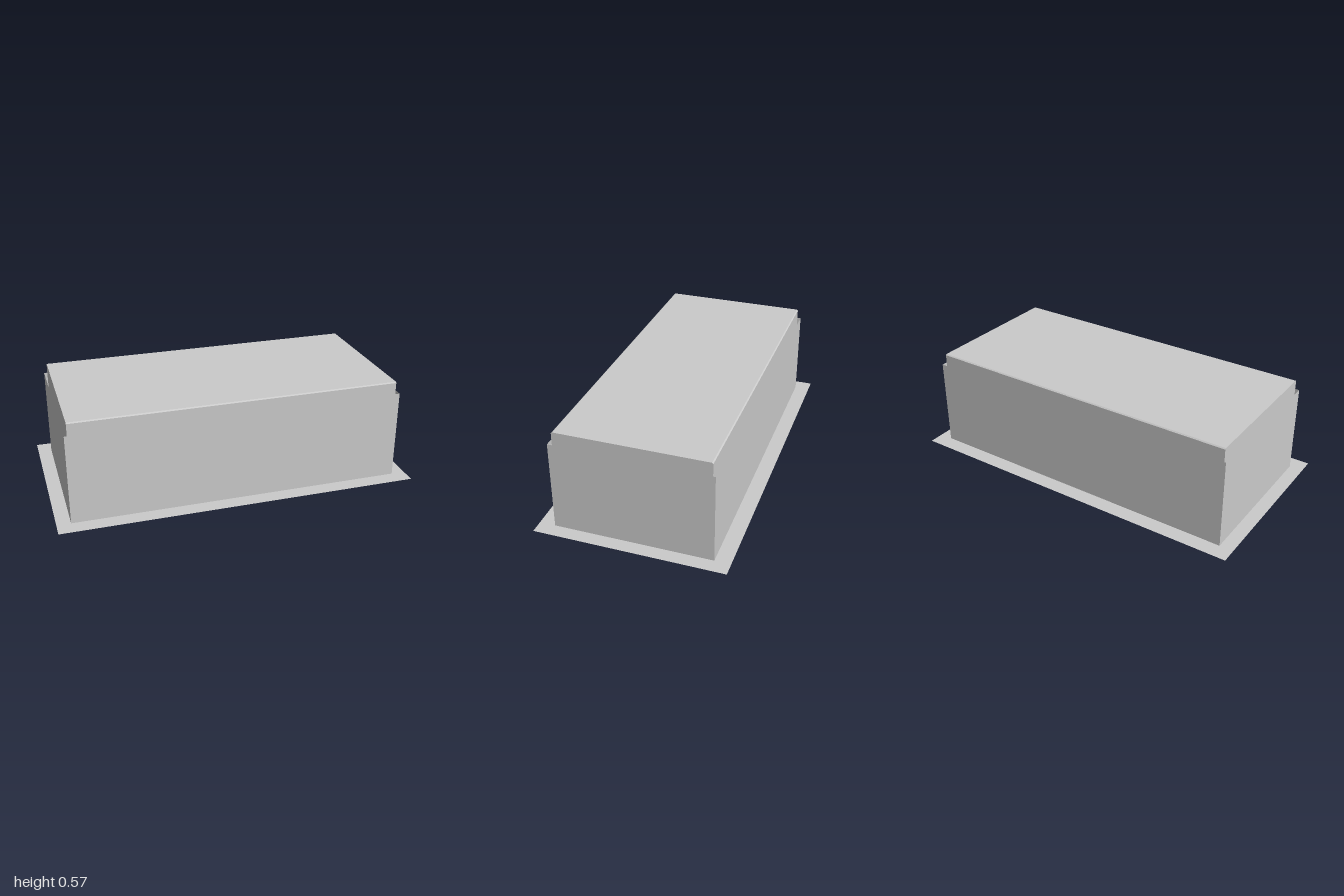
import * as THREE from 'three';

const material = new THREE.MeshStandardMaterial({ color: 0xcccccc, flatShading: true, side: THREE.DoubleSide });

const BODY_X = 0.923, BODY_Z = 0.434, BODY_TOP = 0.504;

function addPart(group, name, geometry) {
  const mesh = new THREE.Mesh(geometry, material);
  mesh.name = name;
  group.add(mesh);
  return mesh;
}

// Flat rectangular border lying on the ground, open in the middle
function flangeGeometry() {
  const rect = (path, x, z) =>
    path.moveTo(-x, -z).lineTo(x, -z).lineTo(x, z).lineTo(-x, z).closePath();
  const shape = rect(new THREE.Shape(), 1, 0.521);
  shape.holes.push(rect(new THREE.Path(), BODY_X, BODY_Z));
  return new THREE.ShapeGeometry(shape).rotateX(-Math.PI / 2);
}

// Block with small chamfers along its long edges, extruded along x
function blockGeometry(halfLength, halfDepth, y0, y1, c) {
  const profile = new THREE.Shape([
    [-halfDepth + c, y0], [halfDepth - c, y0], [halfDepth, y0 + c], [halfDepth, y1 - c],
    [halfDepth - c, y1], [-halfDepth + c, y1], [-halfDepth, y1 - c], [-halfDepth, y0 + c],
  ].map(([z, y]) => new THREE.Vector2(z, y)));
  return new THREE.ExtrudeGeometry(profile, { depth: halfLength * 2, bevelEnabled: false })
    .translate(0, 0, -halfLength)
    .rotateY(Math.PI / 2);
}

export function createModel() {
  const group = new THREE.Group();
  group.name = 'recessedBox';

  addPart(group, 'baseFlange', flangeGeometry());

  // Thin outer sleeve, open at top and bottom
  for (const side of [1, -1]) {
    const long = addPart(group, side > 0 ? 'frontWall' : 'backWall',
      new THREE.PlaneGeometry(BODY_X * 2, BODY_TOP));
    long.position.set(0, BODY_TOP / 2, side * BODY_Z);
    long.rotation.y = side > 0 ? 0 : Math.PI;

    const end = addPart(group, side > 0 ? 'leftWall' : 'rightWall',
      new THREE.PlaneGeometry(BODY_Z * 2, BODY_TOP));
    end.position.set(side * BODY_X, BODY_TOP / 2, 0);
    end.rotation.y = side * Math.PI / 2;
  }

  // Inner block standing proud of the sleeve
  addPart(group, 'innerBlock', blockGeometry(0.906, 0.416, 0.002, 0.568, 0.006));

  return group;
}
